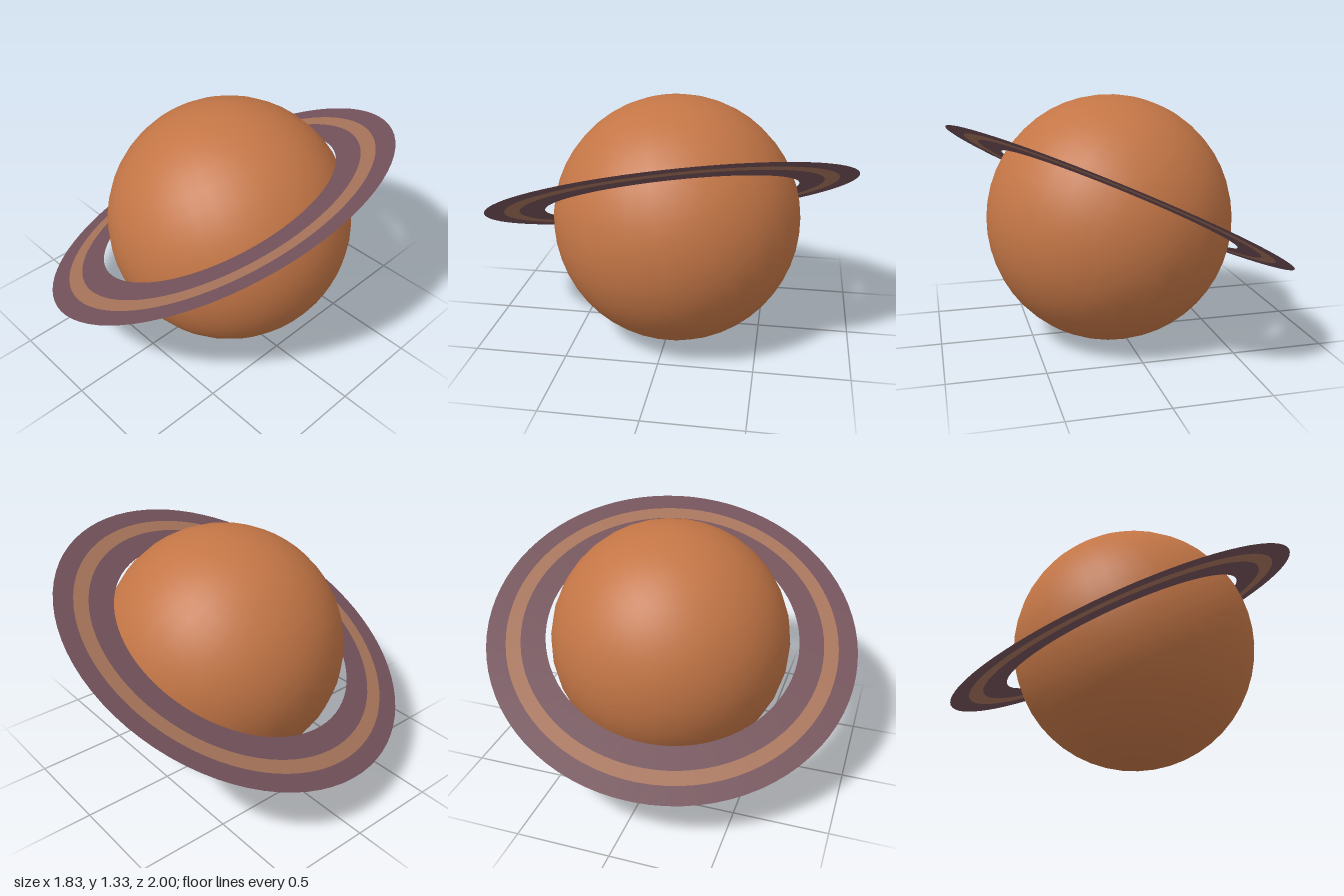
import * as THREE from 'three';

export function createModel() {
  const model = new THREE.Group();
  model.name = 'ringedPlanet';

  const mat = (name, color, side = THREE.FrontSide) => {
    const m = new THREE.MeshStandardMaterial({ color, side });
    m.name = name;
    return m;
  };
  const orange = mat('burntOrange', 0xc47646);
  const mauve = mat('duskyMauve', 0x73525a, THREE.DoubleSide);
  const tan = mat('tanBand', 0xa6735a, THREE.DoubleSide);

  // Axis shared by the planet and its rings, high on the +x side
  const axis = new THREE.Vector3(-0.435, 0.883, 0.176).normalize();

  // Planet body, resting on the ground
  const planet = new THREE.Mesh(new THREE.SphereGeometry(0.667, 32, 24), orange);
  planet.name = 'planet';
  planet.position.set(0.065, 0.667, -0.035);
  planet.quaternion.setFromUnitVectors(new THREE.Vector3(0, 1, 0), axis);
  model.add(planet);

  // Three flat concentric ring bands
  const rings = new THREE.Group();
  rings.name = 'rings';
  rings.position.set(0, 0.747, 0);
  rings.quaternion.setFromUnitVectors(new THREE.Vector3(0, 0, 1), axis);
  const bands = [
    ['innerRing', 0.697, 0.832, mauve],
    ['middleRing', 0.832, 0.912, tan],
    ['outerRing', 0.912, 1.016, mauve],
  ];
  for (const [name, inner, outer, material] of bands) {
    const band = new THREE.Mesh(new THREE.RingGeometry(inner, outer, 80), material);
    band.name = name;
    rings.add(band);
  }
  model.add(rings);

  return model;
}
